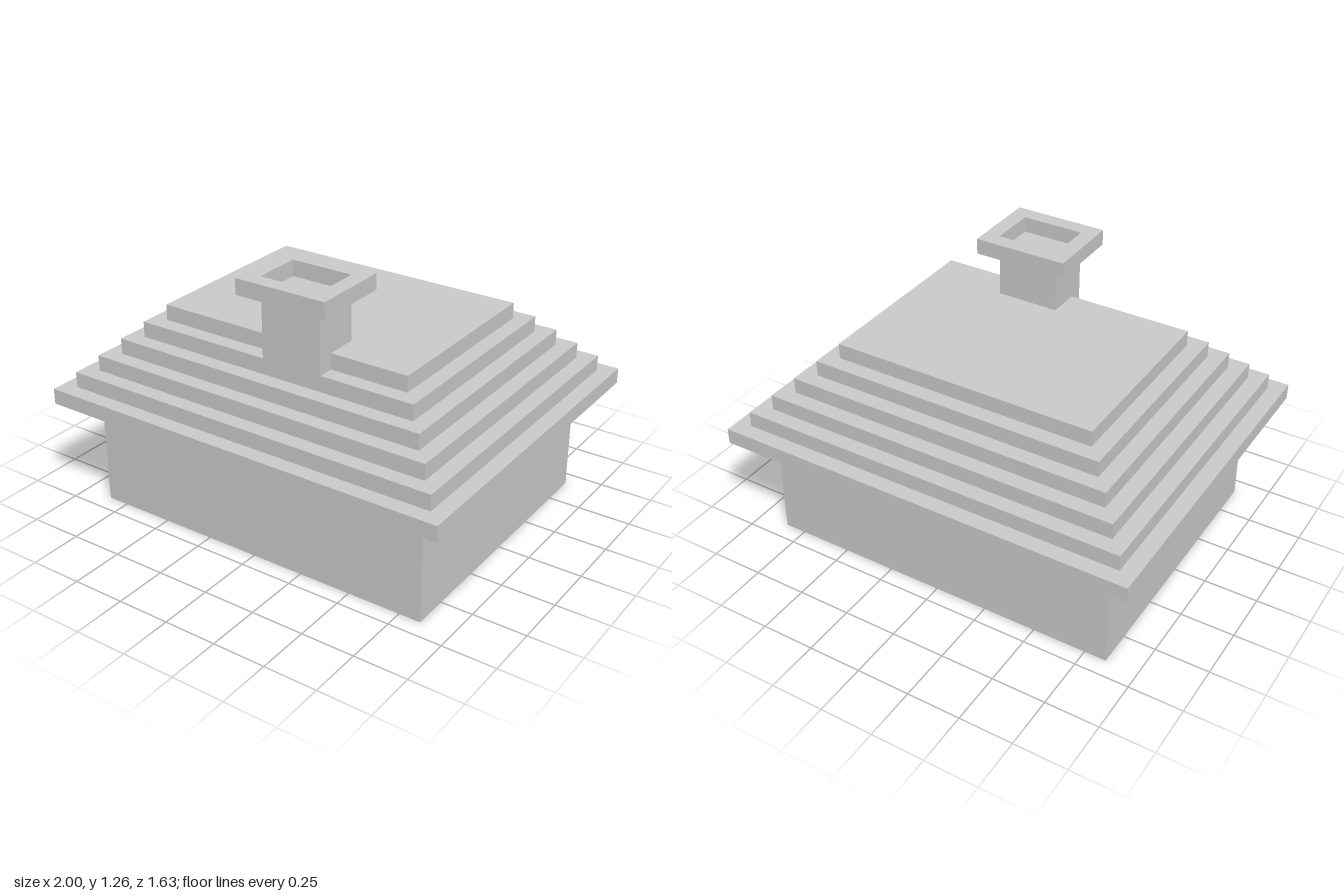
import * as THREE from 'three';

const U = 2 / 27; // one block
const material = new THREE.MeshStandardMaterial({ color: 0xcccccc, flatShading: true });

// Box given by its extents in blocks
function block(name, x0, x1, y0, y1, z0, z1) {
  const mesh = new THREE.Mesh(
    new THREE.BoxGeometry((x1 - x0) * U, (y1 - y0) * U, (z1 - z0) * U), material);
  mesh.position.set((x0 + x1) / 2 * U, (y0 + y1) / 2 * U, (z0 + z1) / 2 * U);
  mesh.name = name;
  return mesh;
}

// Rectangle outline centred on the origin
function rectangle(PathType, w, d) {
  const points = [[-1, -1], [1, -1], [1, 1], [-1, 1]]
    .map(([x, y]) => new THREE.Vector2(x * w / 2 * U, y * d / 2 * U));
  return new PathType(points);
}

export function createModel() {
  const house = new THREE.Group();
  house.name = 'house';

  house.add(block('walls', -11.5, 11.5, 0, 7, -9, 9));

  // Stepped roof, each tier one block smaller all round
  const roof = new THREE.Group();
  roof.name = 'roof';
  for (let i = 0; i < 6; i++) {
    const x = 13.5 - i, z = 11 - i;
    roof.add(block(`roofTier${i + 1}`, -x, x, 7 + i, 8 + i, -z, z));
  }
  house.add(roof);

  // Chimney stack set into the front of the top tier
  const chimney = new THREE.Group();
  chimney.name = 'chimney';
  chimney.add(block('chimneyStack', -0.5, 3.5, 12, 16, 4, 7));

  // Overhanging rim, open over the stack
  const shape = rectangle(THREE.Shape, 6, 5);
  shape.holes.push(rectangle(THREE.Path, 4, 3));
  const rimGeometry = new THREE.ExtrudeGeometry(shape, { depth: U, bevelEnabled: false });
  rimGeometry.rotateX(-Math.PI / 2);
  const rim = new THREE.Mesh(rimGeometry, material);
  rim.name = 'chimneyRim';
  rim.position.set(1.5 * U, 16 * U, 5.5 * U);
  chimney.add(rim);
  house.add(chimney);

  return house;
}
